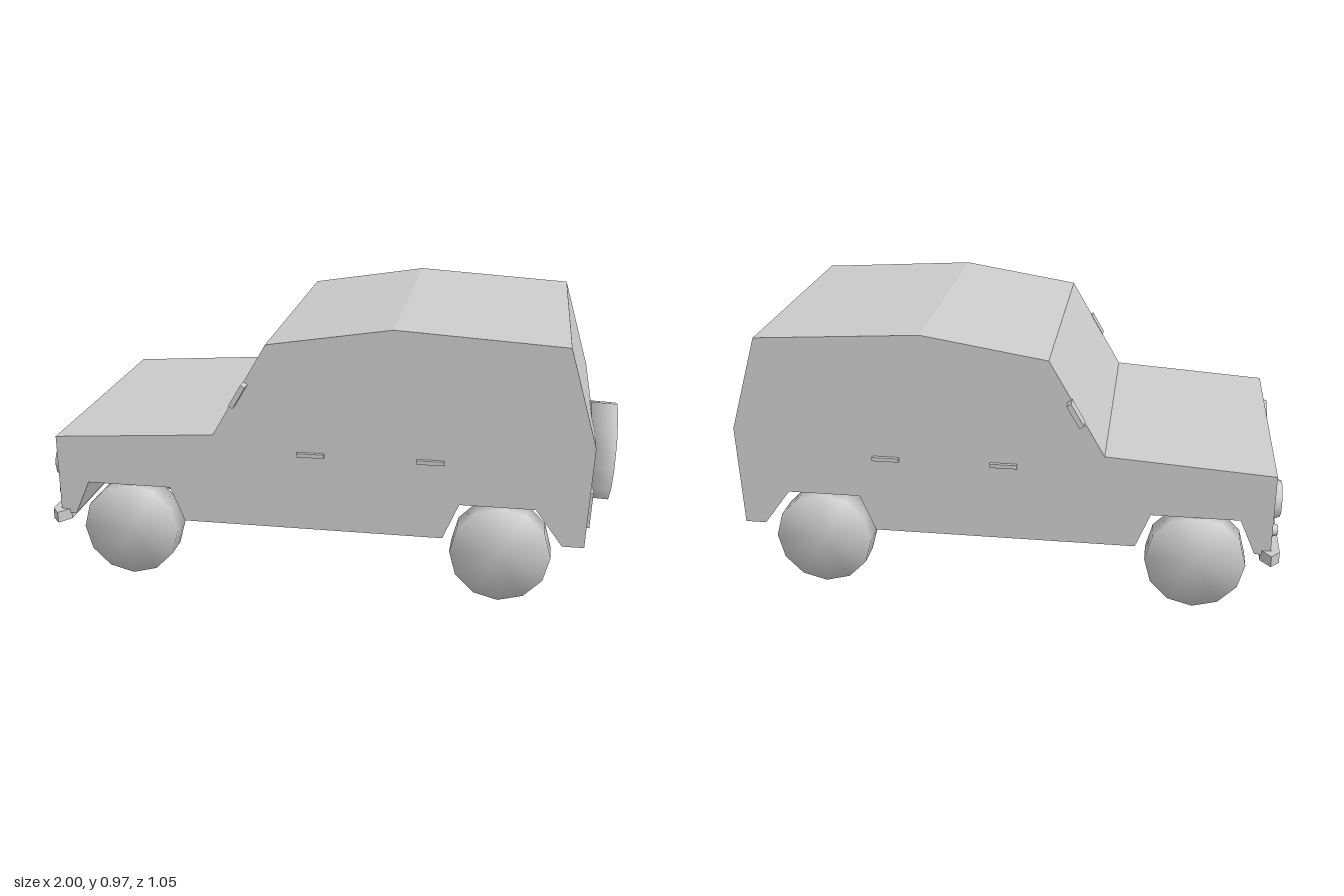
import * as THREE from 'three';
import { mergeVertices } from 'three/addons/utils/BufferGeometryUtils.js';

const material = new THREE.MeshStandardMaterial({ color: 0xcccccc });

// Polygon in x/y, extruded along z and centred on it
function slab(points, depth) {
  const shape = new THREE.Shape(points.map(([x, y]) => new THREE.Vector2(x, y)));
  const geometry = new THREE.ExtrudeGeometry(shape, { depth, bevelEnabled: false });
  return geometry.translate(0, 0, -depth / 2);
}

// Low-poly disc with normals shared across its rim
function softDisc(radius, width, sides = 12) {
  const geometry = new THREE.CylinderGeometry(radius, radius, width, sides);
  geometry.deleteAttribute('uv');
  geometry.deleteAttribute('normal');
  const merged = mergeVertices(geometry);
  merged.computeVertexNormals();
  return merged;
}

export function createModel() {
  const model = new THREE.Group();
  const add = (name, geometry, x = 0, y = 0, z = 0) => {
    const mesh = new THREE.Mesh(geometry, material);
    mesh.name = name;
    mesh.position.set(x, y, z);
    model.add(mesh);
    return mesh;
  };

  // Body shell with through-cut wheel arches, nose towards -x
  add('body', slab([
    [-0.97, 0.235], [-0.915, 0.235], [-0.86, 0.36], [-0.555, 0.36], [-0.505, 0.235],
    [0.42, 0.235], [0.475, 0.365], [0.735, 0.365], [0.83, 0.235], [0.905, 0.235],
    [0.92, 0.6], [0.82, 0.94], [0.24, 0.975], [-0.195, 0.905], [-0.39, 0.57], [-0.97, 0.53],
  ], 0.97));

  // Front bumper with pointed ends
  const bumper = slab([
    [-1, -0.49], [-0.97, -0.525], [-0.935, -0.48],
    [-0.935, 0.48], [-0.97, 0.525], [-1, 0.49],
  ], 0.04);
  add('frontBumper', bumper.rotateX(Math.PI / 2), 0, 0.23, 0);

  // Axles with differentials, joined by a drive shaft
  const diffProfile = [[0.012, -0.062], [0.025, -0.045], [0.038, -0.02],
    [0.038, 0.02], [0.025, 0.045], [0.012, 0.062]].map(([r, h]) => new THREE.Vector2(r, h));
  const axles = [['front', -0.715], ['rear', 0.62]];
  for (const [end, x] of axles) {
    add(end + 'Axle', new THREE.CylinderGeometry(0.016, 0.016, 0.76, 8), x, 0.18, 0).rotation.x = Math.PI / 2;
    add(end + 'Differential', new THREE.LatheGeometry(diffProfile, 8), x, 0.18, -0.01).rotation.x = Math.PI / 2;
    for (const side of [-1, 1]) {
      add(end + 'Wheel', softDisc(0.175, 0.1), x, 0.18, side * 0.423).rotation.x = Math.PI / 2;
    }
  }
  add('driveShaft', new THREE.CylinderGeometry(0.016, 0.016, 1.335, 8), -0.0475, 0.18, -0.01).rotation.z = Math.PI / 2;

  // Chassis crossmembers with sloping ends
  for (const x of [-0.46, 0.37]) {
    const member = slab([[-0.32, 0.192], [0.32, 0.192], [0.43, 0.237], [-0.43, 0.237]], 0.05);
    add('crossmember', member.rotateY(Math.PI / 2), x, 0, 0);
  }

  // Spare wheel, leaning with the tailgate
  add('spareWheel', softDisc(0.175, 0.09), 0.948, 0.49, 0.2).rotation.z = -Math.PI / 2 - 0.04;

  // Parts mirrored on both sides
  for (const side of [-1, 1]) {
    add('headlight', new THREE.CylinderGeometry(0.062, 0.077, 0.03, 12), -0.982, 0.405, side * 0.385).rotation.z = Math.PI / 2;
    add('indicator', new THREE.CylinderGeometry(0.018, 0.027, 0.026, 10), -0.98, 0.3, side * 0.42).rotation.z = Math.PI / 2;
    add('mirror', new THREE.BoxGeometry(0.018, 0.09, 0.05), -0.29, 0.727, side * 0.5).rotation.z = -0.53;
    for (const x of [-0.043, 0.373]) {
      add('doorHandle', new THREE.BoxGeometry(0.095, 0.014, 0.02), x, 0.517, side * 0.488);
    }
    add('tailLight', new THREE.BoxGeometry(0.024, 0.13, 0.06), 0.91, 0.36, side * 0.42).rotation.z = -0.04;
  }

  return model;
}
